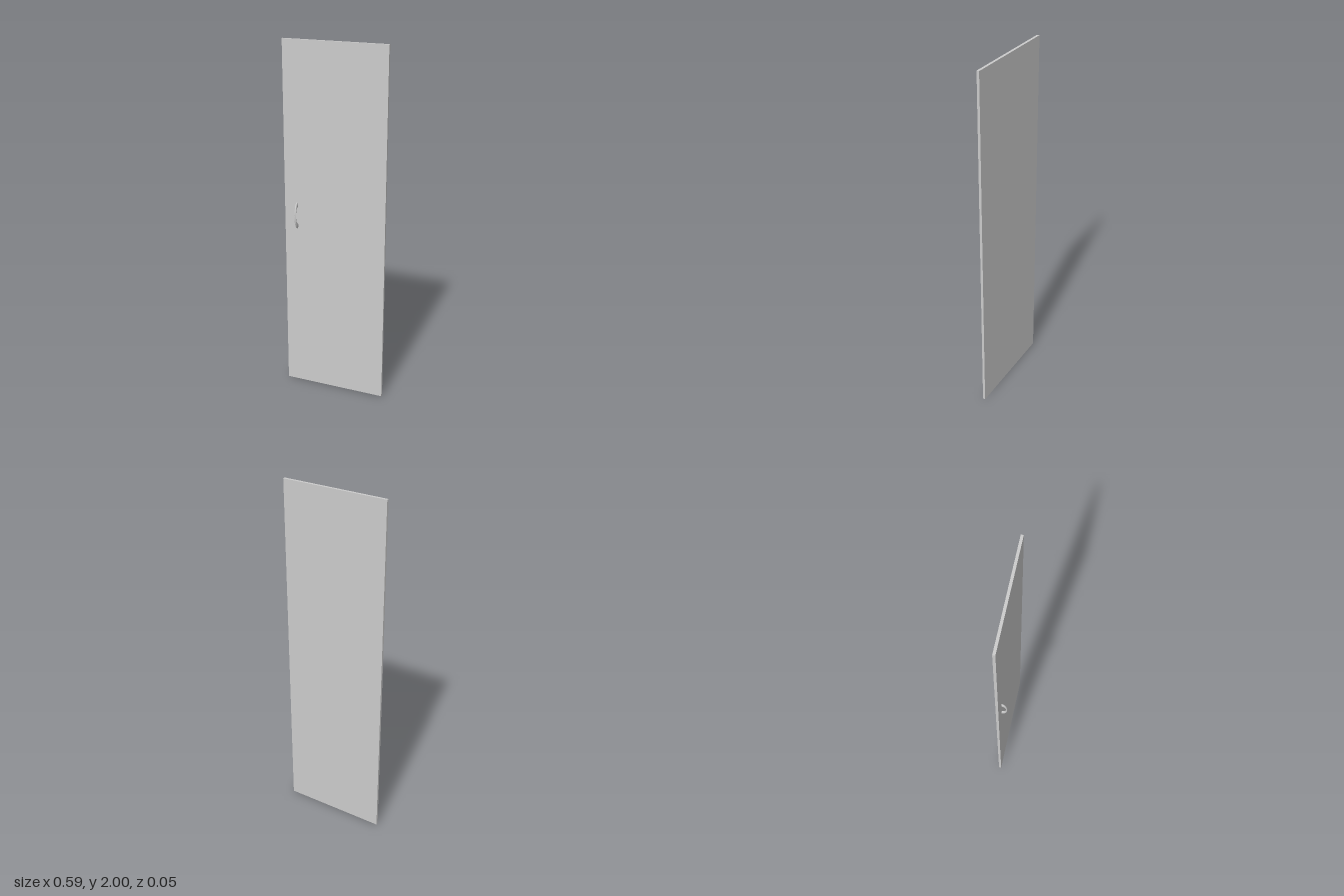
import * as THREE from 'three';

const material = new THREE.MeshStandardMaterial({ color: 0xcccccc });
const FRONT = -0.009; // z of the panel's front face

// Bow handle: elliptical sections swept between an outer and an inner arch,
// so the grip is slim in the middle and flares into long oval feet.
function bowHandleGeometry(steps = 32, sides = 16) {
  const outer = { h: 0.077, d: 0.031 }, inner = { h: 0.043, d: 0.024 };
  const halfWidth = 0.0055;
  const positions = [], indices = [];
  for (let i = 0; i <= steps; i++) {
    const t = (i / steps) * Math.PI;
    for (let j = 0; j < sides; j++) {
      const phi = (j / sides) * Math.PI * 2;
      const k = (1 + Math.cos(phi)) / 2; // 0 on the inner arch, 1 on the outer
      positions.push(
        Math.sin(phi) * halfWidth,
        Math.cos(t) * THREE.MathUtils.lerp(inner.h, outer.h, k),
        Math.sin(t) * THREE.MathUtils.lerp(inner.d, outer.d, k)
      );
      if (i < steps) {
        const a = i * sides + j, b = i * sides + ((j + 1) % sides);
        indices.push(a, a + sides, b, b, a + sides, b + sides);
      }
    }
  }
  const geometry = new THREE.BufferGeometry();
  geometry.setAttribute('position', new THREE.Float32BufferAttribute(positions, 3));
  geometry.setIndex(indices);
  geometry.computeVertexNormals();
  return geometry;
}

export function createModel() {
  const model = new THREE.Group();
  model.name = 'cabinetDoor';

  // Flat door panel
  const thickness = 0.014;
  const panel = new THREE.Mesh(new THREE.BoxGeometry(0.588, 2, thickness), material);
  panel.name = 'doorPanel';
  panel.position.set(0, 1, FRONT - thickness / 2);
  model.add(panel);

  // Handle near the right edge
  const handle = new THREE.Mesh(bowHandleGeometry(), material);
  handle.name = 'handle';
  handle.position.set(-0.221, 1.038, FRONT);
  model.add(handle);

  return model;
}
